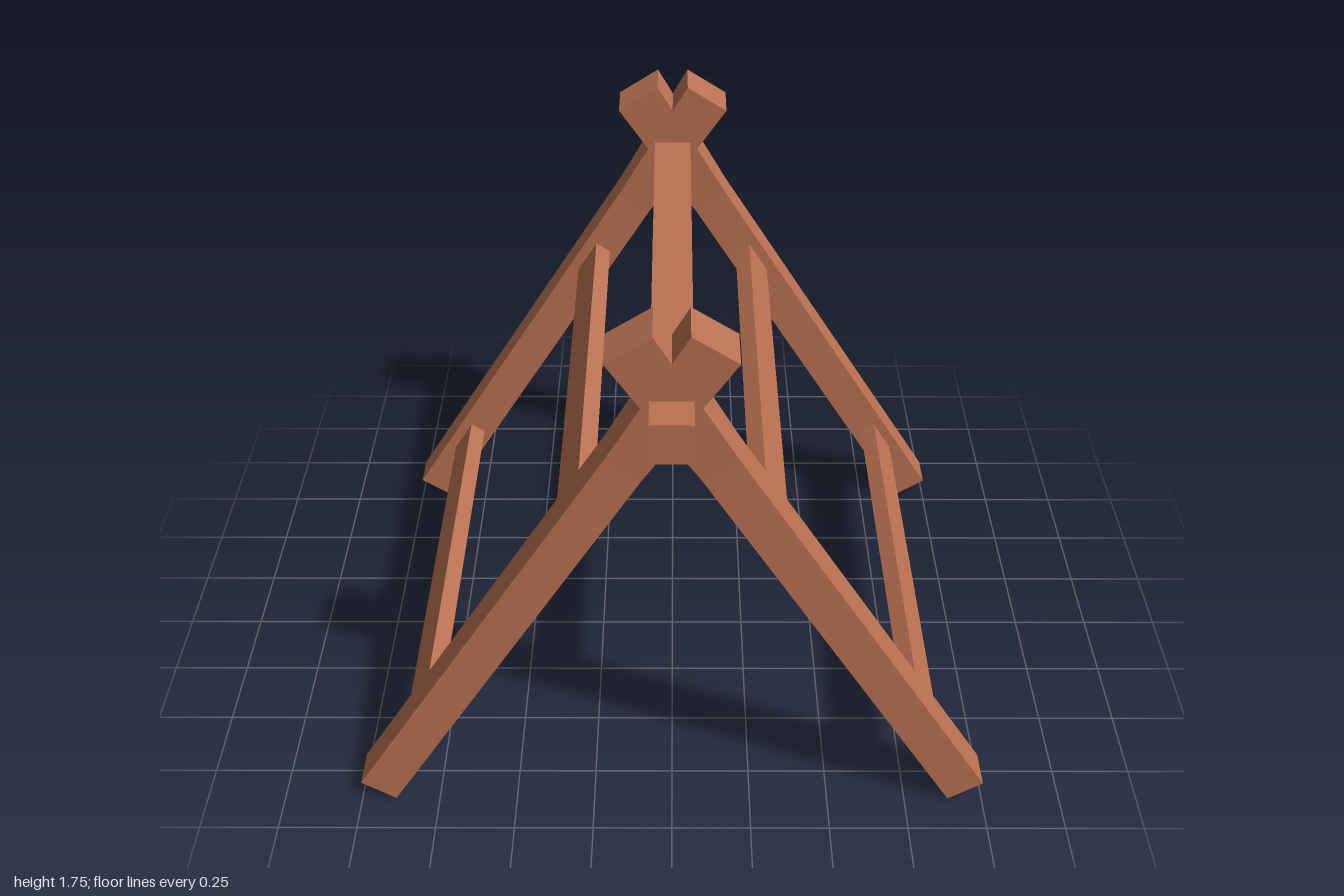
import * as THREE from 'three';

const wood = new THREE.MeshStandardMaterial({ color: 0xbc7252 });
wood.name = 'reddish brown wood';

const FOOT = new THREE.Vector2(0.945, 0.035); // centre of a leg's foot
const TILT = 0.566;                           // lean of the legs from vertical
const LENGTH = 1.985;
const WIDTH = 0.128;
const HEAD_WIDTH = 0.16;
const HEAD_START = 1.5;                       // where the leg begins to flare

// Square post with its base at the origin, flaring into a wider head
function legGeometry() {
  const geo = new THREE.BoxGeometry(1, 2, 1, 1, 2, 1);
  const p = geo.attributes.position;
  for (let i = 0; i < p.count; i++) {
    const level = Math.round(p.getY(i)) + 1;
    const w = level === 2 ? HEAD_WIDTH : WIDTH;
    p.setXYZ(i, p.getX(i) * w, [0, HEAD_START, LENGTH][level], p.getZ(i) * w);
  }
  const flat = geo.toNonIndexed();
  flat.computeVertexNormals();
  return flat;
}

export function createModel() {
  const model = new THREE.Group();
  model.name = 'trestleFrame';

  const add = (name, geo, x, y, z, tilt = 0) => {
    const mesh = new THREE.Mesh(geo, wood);
    mesh.name = name;
    mesh.position.set(x, y, z);
    mesh.rotation.z = tilt;
    model.add(mesh);
  };

  // Ridge beam resting through the crossed legs
  add('ridgeBeam', new THREE.BoxGeometry(0.125, 0.128, 2), 0, 1.48, 0);

  const leg = legGeometry();
  const rung = new THREE.BoxGeometry(0.058, 0.127, 1.56);
  for (const [side, s] of [['left', 1], ['right', -1]]) {
    // Crossed legs at each end
    add(side + 'FrontLeg', leg, s * FOOT.x, FOOT.y, 0.808, s * TILT);
    add(side + 'BackLeg', leg, s * FOOT.x, FOOT.y, -0.848, s * TILT);
    // Rungs lying in the plane of the legs
    for (const [level, y] of [['Lower', 0.27], ['Upper', 1.068]]) {
      const x = FOOT.x - (y - FOOT.y) * Math.tan(TILT);
      add(side + level + 'Rung', rung, s * x, y, -0.02, s * TILT);
    }
  }
  return model;
}
